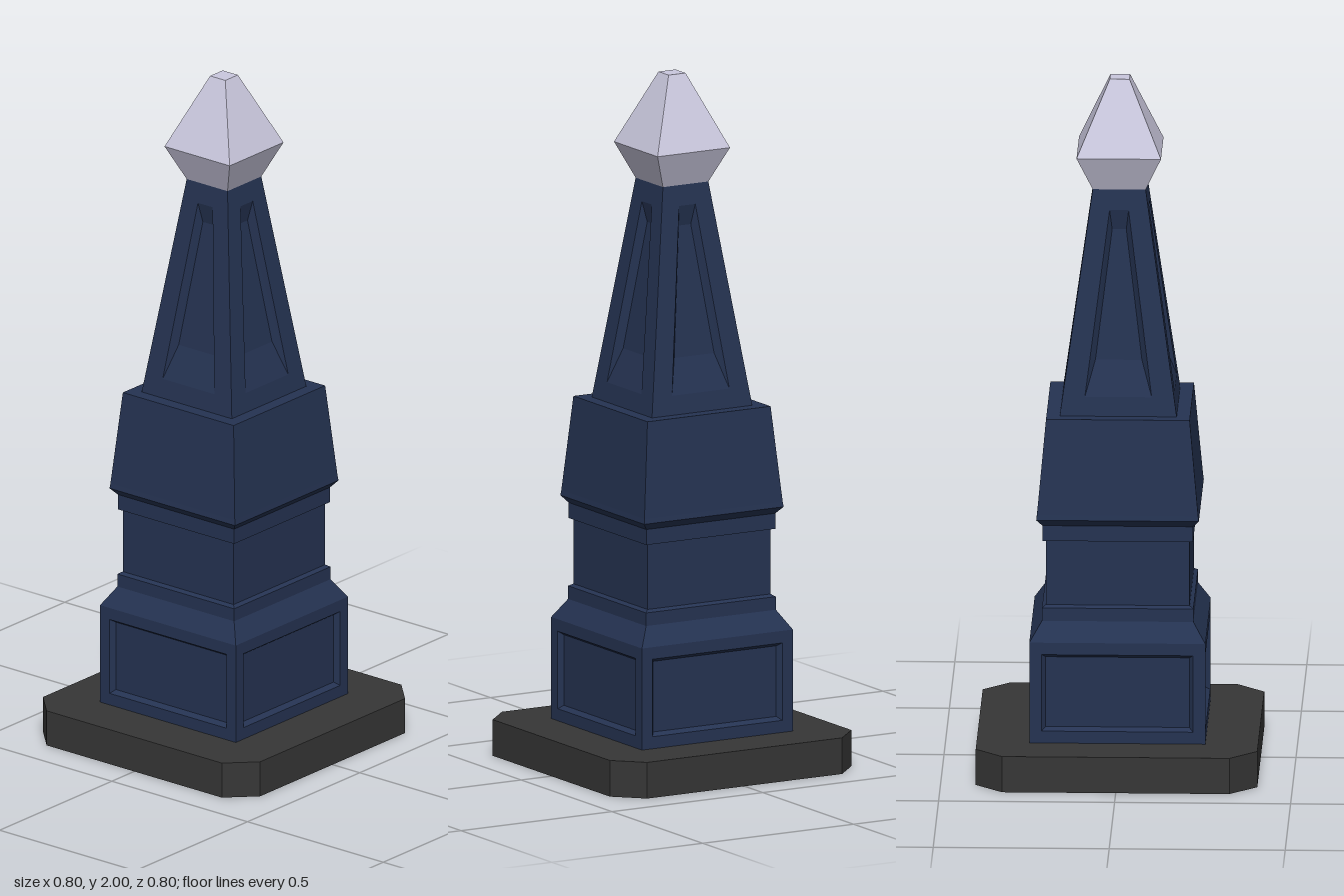
import * as THREE from 'three';

const mat = (name, color) => {
  const m = new THREE.MeshStandardMaterial({ color });
  m.name = name;
  return m;
};

// Square stack of sections from [halfWidth, y] pairs, bottom to top, with hard edges
function squareStack(name, profile, material) {
  const pts = profile.map(([w, y]) => new THREE.Vector2(w * Math.SQRT2, y));
  const geo = new THREE.LatheGeometry(pts, 4, Math.PI / 4).toNonIndexed();
  geo.computeVertexNormals();
  const mesh = new THREE.Mesh(geo, material);
  mesh.name = name;
  return mesh;
}

// Nested trapezoid loops, each [bottomY, bottomHalf, bottomZ, topY, topHalf, topZ],
// joined from the outer border to the sunken centre
function sunkenFace(loops) {
  const quads = loops.map(([y0, w0, z0, y1, w1, z1]) =>
    [[-w0, y0, z0], [w0, y0, z0], [w1, y1, z1], [-w1, y1, z1]]);
  const pos = [];
  const quad = (a, b, c, d) => pos.push(...a, ...b, ...c, ...a, ...c, ...d);
  for (let i = 0; i < quads.length - 1; i++) {
    const o = quads[i], n = quads[i + 1];
    for (let k = 0; k < 4; k++) {
      const j = (k + 1) % 4;
      quad(o[k], o[j], n[j], n[k]);
    }
  }
  quad(...quads[quads.length - 1]);
  const geo = new THREE.BufferGeometry();
  geo.setAttribute('position', new THREE.Float32BufferAttribute(pos, 3));
  geo.computeVertexNormals();
  return geo;
}

// The same face on all four sides
function fourSides(name, loops, material) {
  const group = new THREE.Group();
  group.name = name;
  const geo = sunkenFace(loops);
  for (let i = 0; i < 4; i++) {
    const mesh = new THREE.Mesh(geo, material);
    mesh.name = name + 'Side';
    mesh.rotation.y = i * Math.PI / 2;
    group.add(mesh);
  }
  return group;
}

export function createModel() {
  const stone = mat('dark stone', 0x363636);
  const navy = mat('navy paint', 0x253352);
  const silver = mat('pale silver', 0xcac8de);

  const model = new THREE.Group();
  model.name = 'obelisk';

  // Base slab with clipped corners
  const s = 0.4, c = 0.323;
  const outline = new THREE.Shape([
    [c, -s], [s, -c], [s, c], [c, s], [-c, s], [-s, c], [-s, -c], [-c, -s],
  ].map(([x, y]) => new THREE.Vector2(x, y)));
  const slabGeo = new THREE.ExtrudeGeometry(outline, { depth: 0.105, bevelEnabled: false });
  slabGeo.rotateX(-Math.PI / 2);
  const slab = new THREE.Mesh(slabGeo, stone);
  slab.name = 'baseSlab';
  model.add(slab);

  // Pedestal with a framed panel on each side
  model.add(fourSides('pedestal', [
    [0.105, 0.25, 0.25, 0.40, 0.25, 0.25],
    [0.14, 0.215, 0.25, 0.365, 0.215, 0.25],
    [0.15, 0.204, 0.235, 0.355, 0.204, 0.235],
  ], navy));

  // Sloped shoulder, neck, collar and tapered block
  model.add(squareStack('shoulder',
    [[0.25, 0.40], [0.215, 0.455], [0.215, 0.493], [0.204, 0.50]], navy));
  model.add(squareStack('neck', [[0.204, 0.50], [0.204, 0.69]], navy));
  model.add(squareStack('collar',
    [[0.204, 0.69], [0.214, 0.69], [0.214, 0.735]], navy));
  model.add(squareStack('taperedBlock',
    [[0.214, 0.735], [0.231, 0.755], [0.229, 0.77], [0.204, 1.045], [0.16, 1.045]], navy));

  // Tapering shaft with a sunken groove on each side
  const shaftZ = y => 0.166 - (y - 1.045) * 0.091 / 0.645;
  model.add(fourSides('shaft', [
    [1.045, 0.166, 0.166, 1.69, 0.075, 0.075],
    [1.10, 0.095, shaftZ(1.10), 1.63, 0.027, shaftZ(1.63)],
    [1.20, 0.066, shaftZ(1.20) - 0.022, 1.57, 0.02, shaftZ(1.57) - 0.022],
  ], navy));

  // Faceted finial with a flat tip
  model.add(squareStack('finial',
    [[0, 1.688], [0.075, 1.688], [0.12, 1.79], [0.028, 2.0], [0, 2.0]], silver));

  return model;
}
